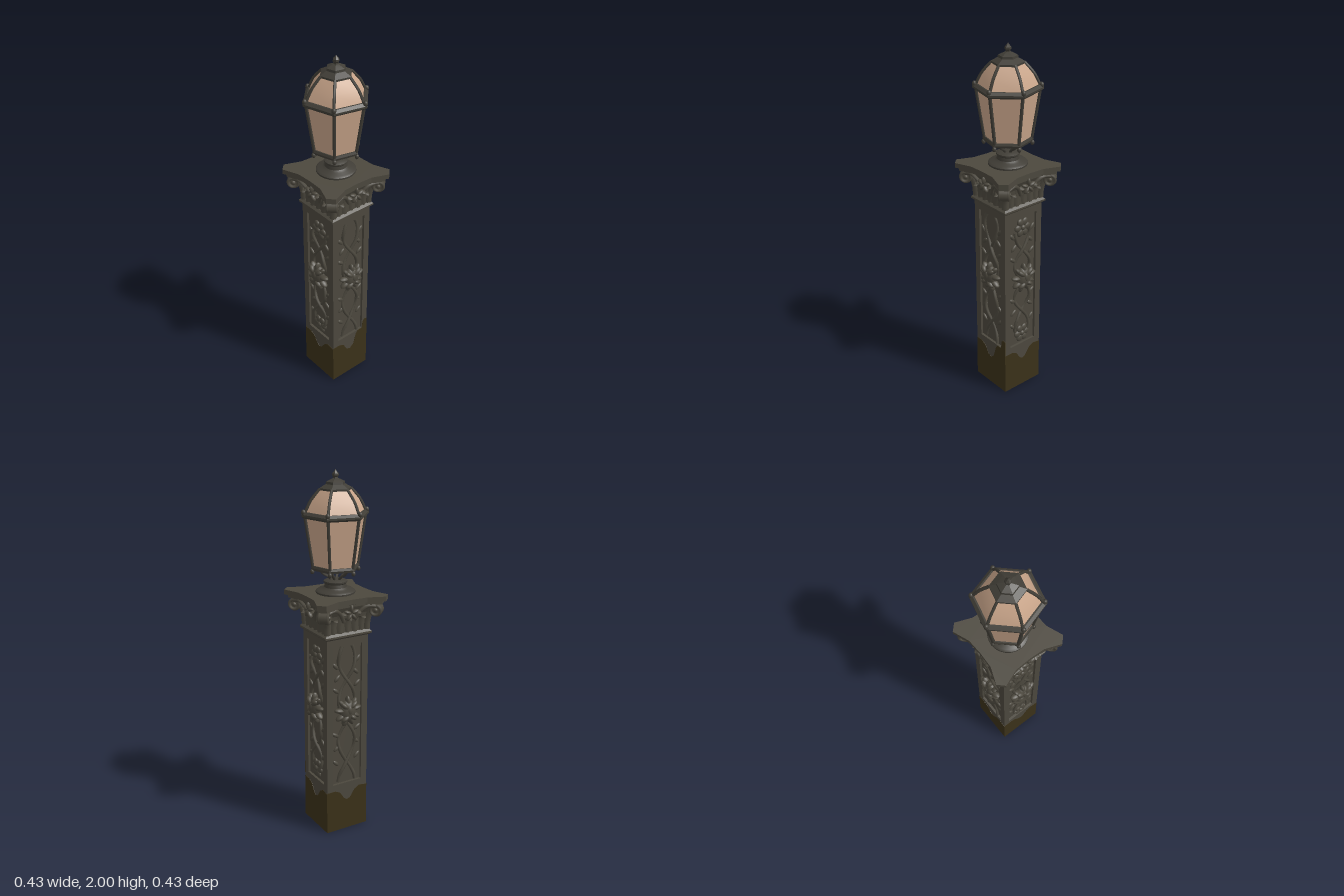
import * as THREE from 'three';
import { toCreasedNormals } from 'three/addons/utils/BufferGeometryUtils.js';

const material = (name, color, side = THREE.FrontSide) => {
  const m = new THREE.MeshStandardMaterial({ color, side });
  m.name = name;
  return m;
};
const V = (x, y, z) => new THREE.Vector3(x, y, z);

export function createModel() {
  const stone = material('weathered stone', 0x4c483e);
  const metal = material('dark iron', 0x403d36);
  const dirt = material('mossy dirt', 0x3b3119);
  const glass = material('amber glass', 0xc9a58a, THREE.DoubleSide);

  const root = new THREE.Group();
  root.name = 'lampPost';
  const add = (parent, name, geo, mat, x = 0, y = 0, z = 0) => {
    const m = new THREE.Mesh(geo, mat);
    m.name = name;
    m.position.set(x, y, z);
    parent.add(m);
    return m;
  };
  // Faceted solid with n sides from [radius, y] pairs, bottom to top
  const faceted = (pairs, n, phase, crease = 0.3) => toCreasedNormals(
    new THREE.LatheGeometry(pairs.map(([r, y]) => new THREE.Vector2(r, y)), n, phase), crease);
  const square = (pairs) => faceted(pairs.map(([h, y]) => [h * Math.SQRT2, y]), 4, Math.PI / 4);
  const tube = (points, r, segs = 40, sides = 6) =>
    new THREE.TubeGeometry(new THREE.CatmullRomCurve3(points), segs, r, sides);
  const ball = new THREE.SphereGeometry(1, 12, 8);
  const blob = (parent, name, pos, size, turn = 0, tilt = 0) => {
    const m = add(parent, name, ball, stone, ...pos);
    m.scale.set(...size);
    m.rotation.set(tilt, 0, turn);
    return m;
  };

  // ---- Shaft: recessed core with a raised border on each side
  const H = 0.127;
  add(root, 'shaftCore', new THREE.BoxGeometry(0.226, 1.15, 0.226), stone, 0, 0.575, 0);
  add(root, 'dirtUnderside', new THREE.BoxGeometry(0.257, 0.004, 0.257), dirt, 0, 0.002, 0);

  const border = new THREE.Shape([[-H, 0], [H, 0], [H, 1.15], [-H, 1.15]].map(p => new THREE.Vector2(...p)));
  border.holes.push(new THREE.Path([[-0.09, 0.29], [-0.09, 1.1], [0.09, 1.1], [0.09, 0.29]]
    .map(p => new THREE.Vector2(...p))));
  const borderGeo = new THREE.ExtrudeGeometry(border, { depth: 0.016, bevelEnabled: false });

  // Dirt outline along the top edge, left to right
  const dirtSide = [[-H, 0.25], [-0.075, 0.25], [-0.045, 0.235], [-0.02, 0.195], [0, 0.182], [0.02, 0.19],
    [0.05, 0.235], [0.08, 0.252], [H, 0.245]];
  const dirtFront = [[-H, 0.25], [-0.08, 0.25], [-0.05, 0.235], [-0.025, 0.19], [0, 0.18], [0.025, 0.2],
    [0.045, 0.27], [0.06, 0.288], [0.091, 0.288], [0.096, 0.335], [0.11, 0.35], [H, 0.345]];
  const dirtPlate = (edge) => {
    const pts = [[-H - 0.0015, 0], [H + 0.0015, 0], ...edge.slice().reverse()];
    return new THREE.ExtrudeGeometry(new THREE.Shape(pts.map(p => new THREE.Vector2(...p))),
      { depth: 0.002, bevelEnabled: false });
  };

  // Five round petals about a button
  const rosette = (parent, y) => {
    for (let i = 0; i < 6; i++) {
      const a = i * Math.PI / 3;
      blob(parent, 'rosettePetal', [Math.cos(a) * 0.03, y + Math.sin(a) * 0.034, 0.118], [0.024, 0.02, 0.011], a);
    }
    blob(parent, 'rosetteButton', [0, y, 0.123], [0.016, 0.016, 0.012]);
  };

  // Bulging cluster of leaves at mid height
  const medallion = (parent) => {
    blob(parent, 'medallionBoss', [0, 0.725, 0.128], [0.05, 0.066, 0.034]);
    for (let i = 0; i < 9; i++) {
      const a = i * Math.PI * 2 / 9 + Math.PI / 2;
      blob(parent, 'medallionLeaf', [Math.cos(a) * 0.05, 0.725 + Math.sin(a) * 0.055, 0.13],
        [0.034, 0.014, 0.02], a);
    }
    for (const s of [-1, 1]) {
      blob(parent, 'medallionCurl', [s * 0.026, 0.762, 0.146], [0.028, 0.014, 0.018], s * 0.7);
      blob(parent, 'medallionCurl', [s * 0.024, 0.69, 0.146], [0.026, 0.014, 0.019], -s * 0.6);
    }
    blob(parent, 'medallionBud', [0, 0.735, 0.153], [0.015, 0.026, 0.012]);
  };

  // Twining stems; loops close up between the rosettes on the sides
  const stems = (parent, looped) => {
    for (const s of [-1, 1]) {
      const path = [];
      const [y0, y1] = looped ? [0.37, 1.01] : [0.3, 1.095];
      for (let i = 0; i <= 24; i++) {
        const y = y0 + (y1 - y0) * i / 24;
        const wave = Math.sin((y - 0.7) * (looped ? 16 : 13) + (looped ? 0 : 0.5));
        path.push(V(s * 0.052 * wave, y, 0.117 + s * 0.006 * Math.cos(i * 1.1)));
      }
      add(parent, 'vineStem', tube(path, 0.0095, 72), stone);
      // Small leaves off the stem
      for (const [y, x, t] of [[0.43, 0.066, 0.8], [0.52, 0.06, -0.7], [0.6, 0.068, 0.6],
        [0.86, 0.066, 0.7], [0.93, 0.058, -0.8], [1.0, 0.068, 0.9]])
        blob(parent, 'vineLeaf', [s * x, y + s * 0.012, 0.115], [0.024, 0.011, 0.009], s * t);
    }
    if (looped) [1.03, 0.355].forEach(y => rosette(parent, y));
  };

  // Upright leaf that curls forward at its tip
  const leafGeo = (w, h, out) => {
    const g = new THREE.PlaneGeometry(1, 1, 4, 8);
    const p = g.attributes.position;
    for (let i = 0; i < p.count; i++) {
      const u = p.getX(i) * 2, t = p.getY(i) + 0.5;
      const width = w * (0.6 + 0.5 * Math.sin(t * 3)) * (t > 0.85 ? 0.65 : 1);
      p.setXYZ(i, u * width, h * Math.sin(t * 2.0) / 0.91, out * t * t * t - 0.01 * u * u + 0.008);
    }
    g.computeVertexNormals();
    return g;
  };
  const leafStone = material('carved leaf stone', 0x4c483e, THREE.DoubleSide);
  const tallLeaf = leafGeo(0.028, 0.11, 0.045), shortLeaf = leafGeo(0.024, 0.075, 0.032);

  for (let k = 0; k < 4; k++) {
    const side = new THREE.Group();
    side.name = ['frontSide', 'leftSide', 'backSide', 'rightSide'][k];
    side.rotation.y = k * Math.PI / 2;
    root.add(side);
    add(side, 'panelBorder', borderGeo, stone, 0, 0, H - 0.016);
    add(side, 'dirtStain', dirtPlate(k ? dirtSide : dirtFront), dirt, 0, 0, H - 0.0005);
    stems(side, k % 2 === 1);
    medallion(side);

    // Capital carving on this side
    for (const x of [-0.085, 0, 0.085]) add(side, 'capitalLeaf', shortLeaf, leafStone, x, 1.172, 0.124);
    for (const x of [-0.045, 0.045]) add(side, 'capitalLeaf', tallLeaf, leafStone, x, 1.172, 0.126);
    for (let i = 0; i < 5; i++) {
      const a = Math.PI / 2 + i * Math.PI * 0.4;
      blob(side, 'capitalFlowerPetal', [Math.cos(a) * 0.024, 1.285 + Math.sin(a) * 0.024, 0.163], [0.022, 0.01, 0.014], a);
    }
    for (const s of [-1, 1])
      add(side, 'capitalTendril', tube([V(s * 0.03, 1.235, 0.135), V(s * 0.06, 1.285, 0.152),
        V(s * 0.1, 1.312, 0.165), V(s * 0.145, 1.305, 0.172)], 0.011, 20), stone);

    // Corner scroll, set on the diagonal
    const corner = new THREE.Group();
    corner.name = 'cornerScroll';
    corner.rotation.y = (k + 0.5) * Math.PI / 2;
    root.add(corner);
    const roll = add(corner, 'scrollRoll', new THREE.CylinderGeometry(0.034, 0.034, 0.045, 18), stone, 0, 1.283, 0.222);
    roll.rotation.z = Math.PI / 2;
    for (const s of [-1, 1]) {
      const rim = add(corner, 'scrollRim', new THREE.TorusGeometry(0.027, 0.009, 6, 18), stone, s * 0.022, 1.283, 0.222);
      rim.rotation.y = Math.PI / 2;
      blob(corner, 'scrollEye', [s * 0.024, 1.283, 0.222], [0.01, 0.012, 0.012]);
    }
    add(corner, 'scrollStalk', tube([V(0, 1.175, 0.168), V(0, 1.225, 0.172), V(0, 1.28, 0.19),
      V(0, 1.315, 0.22)], 0.02, 20, 8), stone);
  }

  // ---- Capital body and concave top slab
  add(root, 'neckMoulding', square([[0, 1.142], [0.13, 1.142], [0.141, 1.152], [0.141, 1.162], [0.128, 1.174], [0, 1.174]]), stone);
  add(root, 'capitalBell', square([[0.124, 1.17], [0.125, 1.22], [0.134, 1.27], [0.155, 1.31], [0.165, 1.335]]), stone);
  const slab = (s, y, h) => {
    const shape = new THREE.Shape();
    const edge = [[0.213, -0.178], [0.178, -0.088], [0.174, 0], [0.178, 0.088], [0.213, 0.178], [0.185, 0.21]];
    for (let k = 0; k < 4; k++) edge.forEach(([x, z], i) => {
      if (i === 5) return;
      const c = Math.cos(k * Math.PI / 2), n = Math.sin(k * Math.PI / 2);
      const px = s * (x * c - z * n), py = s * (x * n + z * c);
      k || i ? shape.lineTo(px, py) : shape.moveTo(px, py);
    });
    const g = new THREE.ExtrudeGeometry(shape, { depth: h, bevelEnabled: false });
    g.rotateX(-Math.PI / 2);
    add(root, 'capitalSlab', g, stone, 0, y, 0);
  };
  slab(0.93, 1.318, 0.02);
  slab(1, 1.335, 0.026);

  // ---- Lantern foot
  add(root, 'lanternFoot', toCreasedNormals(new THREE.LatheGeometry([[0.105, 1.36], [0.105, 1.37], [0.095, 1.378],
    [0.072, 1.382], [0.06, 1.392], [0.056, 1.41], [0.062, 1.416], [0.062, 1.424], [0.045, 1.432], [0, 1.434]]
    .map(p => new THREE.Vector2(...p)), 24), 0.6), metal);

  // ---- Hexagonal lantern
  const PH = THREE.MathUtils.degToRad(16.5);
  const at = (r, y, i) => V(Math.sin(PH + i * Math.PI / 3) * r, y, Math.cos(PH + i * Math.PI / 3) * r);
  const hex = (name, pairs, mat) => add(root, name, faceted(pairs, 6, PH), mat);
  hex('bodyGlass', [[0.118, 1.5], [0.158, 1.77]], glass);
  hex('roofGlass', [[0.157, 1.785], [0.128, 1.845], [0.08, 1.903]], glass);
  hex('lowerRing', [[0.106, 1.487], [0.128, 1.487], [0.132, 1.499], [0.127, 1.511], [0.106, 1.511], [0.106, 1.487]], metal);
  hex('upperRing', [[0.148, 1.76], [0.168, 1.758], [0.18, 1.768], [0.18, 1.778], [0.164, 1.79], [0.148, 1.79], [0.148, 1.76]], metal);
  hex('roofCap', [[0.07, 1.893], [0.086, 1.897], [0.086, 1.907], [0.052, 1.926], [0.05, 1.938], [0.024, 1.95],
    [0.013, 1.954], [0.012, 1.96], [0.018, 1.968], [0.017, 1.978], [0.006, 1.99], [0, 2]], metal);

  for (let i = 0; i < 6; i++) {
    add(root, 'bodyBar', tube([at(0.121, 1.5, i), at(0.162, 1.77, i)], 0.009, 1), metal);
    add(root, 'roofBar', tube([at(0.162, 1.785, i), at(0.131, 1.846, i), at(0.081, 1.904, i)], 0.008, 10), metal);
    add(root, 'supportArm', tube([at(0.022, 1.425, i), at(0.036, 1.445, i), at(0.066, 1.465, i),
      at(0.09, 1.495, i)], 0.0075, 14), metal);
    add(root, 'supportBrace', tube([at(0.085, 1.49, i), at(0.122, 1.492, i)], 0.006, 1), metal);
    // Corner knobs above the upper ring and below the lower ring
    for (const [r, y, s] of [[0.169, 1.788, 0.012], [0.126, 1.48, 0.011]]) {
      const p = at(r, y, i);
      add(root, 'cornerKnob', ball, metal, p.x, p.y, p.z).scale.set(s, s * 1.3, s);
    }
  }
  return root;
}
